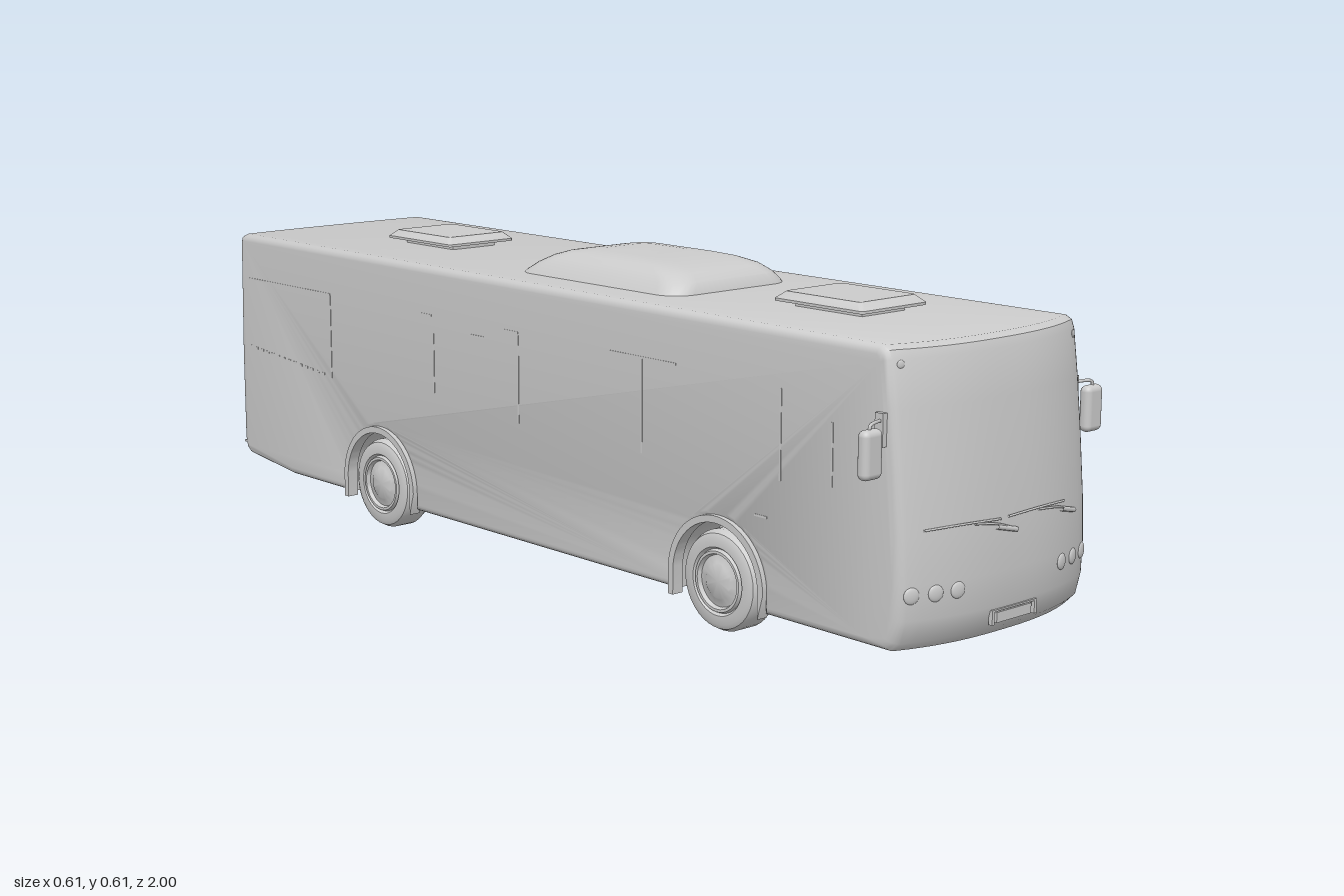
import * as THREE from 'three';
import { mergeVertices, toCreasedNormals } from 'three/addons/utils/BufferGeometryUtils.js';
import { RoundedBoxGeometry } from 'three/addons/geometries/RoundedBoxGeometry.js';

const mat = new THREE.MeshStandardMaterial({ color: 0xcccccc, side: THREE.DoubleSide });
const HALF = 0.243, LINER = 0.152, ARCH = 0.112, AXLE_Y = 0.092, AXLES = [0.53, -0.47];
const FRONT = [[0.97, 0.055], [0.985, 0.07], [0.995, 0.11], [0.997, 0.17], [0.993, 0.25], [0.983, 0.36], [0.972, 0.46], [0.961, 0.54], [0.955, 0.555], [0.94, 0.562]];

function mesh(parent, name, geo, x = 0, y = 0, z = 0) {
  const m = new THREE.Mesh(geo, mat);
  m.name = name;
  m.position.set(x, y, z);
  parent.add(m);
  return m;
}
const box = (parent, name, w, h, d, x, y, z) => mesh(parent, name, new THREE.BoxGeometry(w, h, d), x, y, z);
const bow = x => 0.045 * Math.pow(Math.abs(x) / HALF, 2.5);

// z of the curved front panel at a given x and y
function frontZ(x, y) {
  let i = 1;
  while (i < FRONT.length - 1 && FRONT[i][1] < y) i++;
  const [z0, y0] = FRONT[i - 1], [z1, y1] = FRONT[i];
  return z0 + (z1 - z0) * (y - y0) / (y1 - y0) - bow(x);
}

// Body shell: side profile with wheel arches, extruded across the width and bowed at the ends
function bodyGeometry() {
  const s = new THREE.Shape();
  s.moveTo(-0.8, 0.055);
  for (const z of [...AXLES].reverse()) {
    s.lineTo(z - ARCH, 0.055);
    s.lineTo(z - ARCH, AXLE_Y);
    s.absarc(z, AXLE_Y, ARCH, Math.PI, 0, true);
    s.lineTo(z + ARCH, 0.055);
  }
  s.lineTo(0.9, 0.055);
  FRONT.forEach(p => s.lineTo(...p));
  [[-0.972, 0.562], [-0.985, 0.557], [-0.99, 0.545], [-0.996, 0.3], [-0.996, 0.11], [-0.99, 0.085], [-0.975, 0.074]].forEach(p => s.lineTo(...p));
  const b = 0.015;
  let g = new THREE.ExtrudeGeometry(s, {
    depth: 2 * (HALF - b), steps: 18, curveSegments: 20,
    bevelEnabled: true, bevelSize: b, bevelThickness: b, bevelOffset: -b, bevelSegments: 4
  });
  g.translate(0, 0, -(HALF - b));
  g.rotateY(-Math.PI / 2);
  // Leave the underside open and end the wheel wells at their inner walls
  const p = g.attributes.position, keep = [];
  const v = [0, 1, 2].map(() => new THREE.Vector3()), n = new THREE.Vector3(), c = new THREE.Vector3();
  const tri = new THREE.Triangle(...v);
  for (let i = 0; i < p.count; i += 3) {
    v.forEach((q, k) => q.fromBufferAttribute(p, i + k));
    tri.getNormal(n);
    tri.getMidpoint(c);
    const under = Math.abs(c.x) < 0.225 && c.z < 0.9 && c.z > -0.99 && c.y < 0.08 && Math.abs(n.y) > 0.8;
    const tunnel = Math.abs(c.x) < LINER && c.y < 0.22 && Math.abs(c.z) < 0.75;
    if (under || tunnel) continue;
    for (const q of v) {
      const f = THREE.MathUtils.smoothstep(q.z, 0.85, 0.95), r = THREE.MathUtils.smoothstep(-q.z, 0.9, 0.98);
      keep.push(q.x, q.y, q.z - f * bow(q.x) + r * 0.2 * bow(q.x));
    }
  }
  g = new THREE.BufferGeometry();
  g.setAttribute('position', new THREE.Float32BufferAttribute(keep, 3));
  return toCreasedNormals(mergeVertices(g, 1e-5), 0.6);
}

// Stacked rounded rectangles, rings = [y, halfX, zBack, zFront, radius]
function stack(rings) {
  const pos = [], idx = [], K = 8, N = 4 * K;
  for (const [y, hx, z0, z1, r] of rings)
    for (let i = 0; i < N; i++) {
      const q = Math.floor(i / K), a = (q + (i % K) / (K - 1)) * Math.PI / 2;
      const sx = q === 0 || q === 3 ? 1 : -1, sz = q < 2 ? 1 : -1;
      pos.push(sx * (hx - r) + r * Math.cos(a), y, (z0 + z1) / 2 + sz * ((z1 - z0) / 2 - r) + r * Math.sin(a));
    }
  for (let j = 0; j < rings.length - 1; j++)
    for (let i = 0; i < N; i++) {
      const a = j * N + i, b = j * N + (i + 1) % N;
      idx.push(a, a + N, b, b, a + N, b + N);
    }
  const top = (rings.length - 1) * N;
  for (let i = 1; i < N - 1; i++) idx.push(top, top + i + 1, top + i);
  const g = new THREE.BufferGeometry();
  g.setAttribute('position', new THREE.Float32BufferAttribute(pos, 3));
  g.setIndex(idx);
  return toCreasedNormals(g, 0.5);
}

function wheel(parent, side, z) {
  const pts = [[0, 0.175], [0.075, 0.175], [0.086, 0.18], [0.092, 0.19], [0.092, 0.228], [0.086, 0.24], [0.078, 0.244], [0.062, 0.244],
    [0.058, 0.238], [0.055, 0.245], [0.05, 0.245], [0.047, 0.237], [0.033, 0.241], [0.03, 0.243], [0, 0.243]];
  const g = new THREE.LatheGeometry(pts.map(p => new THREE.Vector2(...p)), 40);
  mesh(parent, 'wheel', toCreasedNormals(g, 0.6), 0, AXLE_Y, z).rotation.z = -side * Math.PI / 2;
}

// Arch outline used by the fender trim and the inner wall of the wheel well
function archShape(r, inner) {
  const s = new THREE.Shape();
  s.moveTo(r, -0.045);
  s.absarc(0, 0, r, 0, Math.PI, false);
  s.lineTo(-r, -0.045);
  if (inner) {
    s.lineTo(-inner, -0.045);
    s.absarc(0, 0, inner, Math.PI, 0, true);
    s.lineTo(inner, -0.045);
  }
  return s;
}

function tube(parent, name, pts, r) {
  const curve = new THREE.CatmullRomCurve3(pts.map(p => new THREE.Vector3(...p)));
  return mesh(parent, name, new THREE.TubeGeometry(curve, 12, r, 8));
}

export function createModel() {
  const bus = new THREE.Group();
  bus.name = 'bus';
  mesh(bus, 'bodyShell', bodyGeometry());

  // Recessed floor, interrupted at the wheel wells
  const floorY = 0.1;
  box(bus, 'floorCentre', 2 * LINER, 0.004, 1.88, 0, floorY, -0.045);
  for (const side of [1, -1]) {
    for (const [a, b] of [[-0.985, -0.582], [-0.358, 0.418], [0.642, 0.895]])
      box(bus, 'floorSide', HALF - LINER - 0.003, 0.004, b - a, side * (HALF + LINER) / 2, floorY, (a + b) / 2);
    for (const z of AXLES) {
      wheel(bus, side, z);
      mesh(bus, 'wheelWellWall', new THREE.ShapeGeometry(archShape(ARCH), 20), side * LINER, AXLE_Y, z).rotation.y = -Math.PI / 2;
      const trim = new THREE.ExtrudeGeometry(archShape(0.12, 0.107), { depth: 0.024, bevelEnabled: false, curveSegments: 24 });
      trim.translate(0, 0, -0.012);
      mesh(bus, 'fenderTrim', toCreasedNormals(trim, 0.5), side * 0.239, AXLE_Y, z).rotation.y = -Math.PI / 2;
    }

    // Mirrors
    const mirror = new THREE.Group();
    mirror.name = side > 0 ? 'leftMirror' : 'rightMirror';
    bus.add(mirror);
    mesh(mirror, 'mirrorHousing', new RoundedBoxGeometry(0.044, 0.083, 0.024, 4, 0.011), side * 0.285, 0.392, 0.922);
    box(mirror, 'mirrorMount', 0.01, 0.056, 0.018, side * 0.247, 0.426, 0.91);
    tube(mirror, 'mirrorArm', [[side * 0.247, 0.441, 0.91], [side * 0.275, 0.442, 0.92], [side * 0.286, 0.439, 0.922], [side * 0.287, 0.425, 0.922]], 0.003);

    // Front lamps
    for (const [x, y, r] of [[0.135, 0.153, 0.0145], [0.178, 0.153, 0.0145], [0.221, 0.153, 0.0145], [0.221, 0.532, 0.007]]) {
      const lamp = mesh(bus, 'frontLamp', new THREE.SphereGeometry(r, 20, 12), side * x, y, frontZ(x, y));
      lamp.scale.z = 0.3;
      lamp.rotation.y = side * x * 1.6;
      const tail = mesh(bus, 'rearLamp', new THREE.SphereGeometry(0.007, 12, 8), side * 0.222, y === 0.532 ? y : 0.12 + x * 0.8, -0.989);
      tail.scale.z = 0.4;
    }
  }

  // Roof unit and hatches
  mesh(bus, 'roofUnit', stack([[0.558, 0.156, -0.142, 0.32, 0.05], [0.567, 0.15, -0.135, 0.317, 0.05], [0.582, 0.139, -0.115, 0.308, 0.05],
    [0.596, 0.125, -0.088, 0.285, 0.05], [0.605, 0.108, -0.06, 0.245, 0.045], [0.61, 0.09, -0.03, 0.2, 0.04], [0.612, 0.065, 0, 0.14, 0.03]]));
  for (const z of [0.608, -0.542]) {
    box(bus, 'hatchBase', 0.11, 0.02, 0.16, 0, 0.567, z);
    mesh(bus, 'hatchLid', stack([[0.572, 0.02, -0.02, 0.02, 0.003], [0.572, 0.084, -0.107, 0.107, 0.008], [0.577, 0.084, -0.107, 0.107, 0.008],
      [0.59, 0.072, -0.09, 0.09, 0.008]]), 0, 0, z);
  }

  // Wipers
  for (const [a, b, c, d] of [[-0.2, -0.04, -0.1, 0], [-0.02, 0.14, 0.06, 0.18]]) {
    const on = (x, y) => [x, y, frontZ(x, y) + 0.002];
    tube(bus, 'wiperBlade', [on(a, 0.26), on((a + b) / 2, 0.262), on(b, 0.259)], 0.002);
    tube(bus, 'wiperArm', [on(c, 0.259), on((c + d) / 2, 0.252), on(d, 0.236)], 0.002);
    tube(bus, 'wiperPivot', [on(d - 0.05, 0.247), on(d, 0.235)], 0.0045);
  }

  // Number plate holders at both ends
  for (const z of [0.993, -0.994]) {
    box(bus, 'plate', 0.09, 0.018, 0.006, 0, 0.09, z);
    box(bus, 'plateFrameTop', 0.115, 0.003, 0.008, 0, 0.103, z);
    for (const x of [-0.055, 0.055]) box(bus, 'plateFrameSide', 0.006, 0.024, 0.008, x, 0.091, z);
  }

  // Side panel seams: [z, yLow, yHigh] uprights and [zA, zB, y] rails
  const seams = (x, uprights, rails) => {
    uprights.forEach(([z, a, b]) => box(bus, 'seam', 0.002, b - a, 0.004, x, (a + b) / 2, z));
    rails.forEach(([a, b, y]) => box(bus, 'rail', 0.002, 0.004, b - a, x, y, (a + b) / 2));
  };
  seams(-HALF, [[0.8, 0.31, 0.42], [0.68, 0.3, 0.46], [0.33, 0.29, 0.465], [-0.02, 0.29, 0.46], [-0.285, 0.31, 0.43], [-0.64, 0.29, 0.465]],
    [[0.24, 0.42, 0.465], [-0.06, -0.02, 0.465], [-0.17, -0.12, 0.442], [-0.33, -0.29, 0.465], [-0.95, -0.64, 0.467], [0.62, 0.65, 0.23]]);
  seams(HALF, [[-0.95, 0.29, 0.465], [-0.63, 0.29, 0.465], [-0.27, 0.08, 0.48], [-0.13, 0.08, 0.46], [0, 0.08, 0.48], [0.37, 0.29, 0.465], [0.74, 0.08, 0.48]],
    [[-0.95, -0.63, 0.465], [-0.95, -0.63, 0.29], [-0.27, 0, 0.48], [0.02, 0.37, 0.465], [0.37, 0.7, 0.465], [0.62, 0.65, 0.23]]);
  for (let i = 0; i < 14; i++) box(bus, 'sideVent', 0.002, 0.005, 0.01, -HALF, 0.295 + i * 0.0018, -0.67 - i * 0.021);

  // Rear grille and panel seams
  for (let r = 0; r < 7; r++)
    for (let i = 0; i < 14; i++)
      box(bus, 'grilleSlot', 0.012, 0.005, 0.003, (i - 6.5) * 0.027 + (r % 2 ? 0.006 : -0.006), 0.17 + r * 0.019, -0.995 + 0.2 * bow((i - 6.5) * 0.027));
  for (const y of [0.32, 0.46]) box(bus, 'rearSeam', 0.36, 0.003, 0.006, 0, y, y < 0.4 ? -0.992 : -0.989);
  box(bus, 'rearVent', 0.26, 0.022, 0.006, 0, 0.515, -0.989);
  return bus;
}
